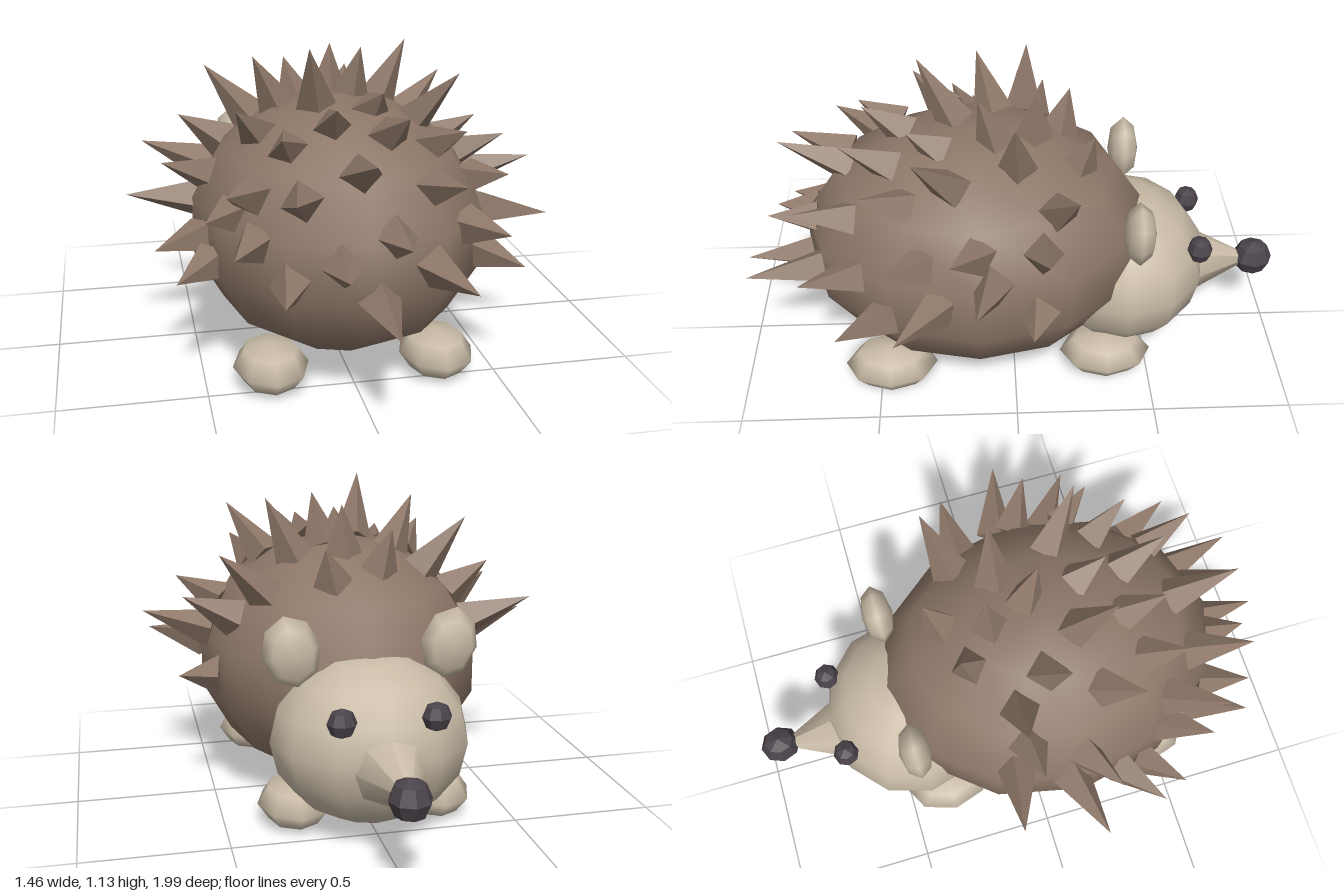
import * as THREE from 'three';

const brown = new THREE.MeshStandardMaterial({ color: 0x8d7768 });
brown.name = 'brown';
const cream = new THREE.MeshStandardMaterial({ color: 0xc8bba6 });
cream.name = 'cream';
const dark = new THREE.MeshStandardMaterial({ color: 0x4a434a });
dark.name = 'dark';

// Faceted copy of a geometry
function faceted(geometry) {
  const g = geometry.toNonIndexed();
  g.computeVertexNormals();
  return g;
}

function ellipsoid(rx, ry, rz, across, rings) {
  return new THREE.SphereGeometry(1, across, rings).scale(rx, ry, rz);
}

// The spines reach slightly further to one side, so the body sits off the middle
const MID = 0.008;

// Spine tips: x, y, z
const SPINES = [
  [0.13, 0.95, -0.28], [-0.12, 1.0, -0.21], [0.03, 1.07, -0.08], [0.29, 1.09, 0.0],
  [-0.43, 1.01, -0.07], [-0.66, 0.72, -0.15], [-0.53, 0.84, -0.04], [-0.73, 0.61, 0.14],
  [-0.28, 1.07, 0.12], [0.1, 1.09, 0.12], [0.73, 0.67, 0.14], [0.6, 0.77, -0.1],
  [0.62, 0.47, -0.05], [0.48, 0.93, -0.2], [0.7, 0.54, 0.41], [0.39, 1.03, 0.34],
  [0.6, 0.78, 0.22], [-0.12, 1.13, 0.33], [-0.37, 0.94, 0.36], [-0.65, 0.49, 0.39],
  [-0.61, 0.74, 0.22], [0.12, 0.98, 0.37], [-0.5, 0.65, 0.6], [-0.25, 0.89, 0.56],
  [-0.07, 0.97, 0.53], [0.15, 0.95, 0.6], [0.36, 0.88, 0.53], [0.55, 0.43, 0.62],
  [0.54, 0.7, 0.45], [0.45, 0.59, 0.74], [-0.59, 0.41, 0.5], [-0.44, 0.75, 0.67],
  [-0.43, 0.58, 0.76], [-0.29, 0.45, 0.85], [-0.25, 0.76, 0.82], [-0.1, 0.53, 0.88],
  [-0.01, 0.87, 0.83], [0.03, 0.38, 0.99], [0.09, 0.62, 0.88], [0.28, 0.49, 0.95],
  [0.29, 0.77, 0.77],
];

export function createModel() {
  const model = new THREE.Group();
  model.name = 'hedgehog';

  function add(name, geometry, material, x, y, z) {
    const mesh = new THREE.Mesh(geometry, material);
    mesh.name = name;
    mesh.position.set(x + MID, y, z);
    model.add(mesh);
    return mesh;
  }

  // Rounded body
  const centre = new THREE.Vector3(MID, 0.48, 0.13);
  const radii = new THREE.Vector3(0.525, 0.45, 0.64);
  add('body', ellipsoid(radii.x, radii.y, radii.z, 12, 7), brown, 0, centre.y, centre.z);

  // Four-sided spines, leaning backwards out of the body
  const spines = new THREE.Group();
  spines.name = 'spines';
  model.add(spines);
  const up = new THREE.Vector3(0, 1, 0);
  for (const t of SPINES) {
    const tip = new THREE.Vector3(...t);
    const base = tip.clone().sub(centre);
    base.z -= 0.09;
    base.divide(radii).normalize().multiplyScalar(0.95).multiply(radii).add(centre);
    const axis = tip.clone().sub(base);
    const length = axis.length();
    const cone = new THREE.ConeGeometry(0.073, length, 4).translate(0, length / 2, 0);
    const spine = new THREE.Mesh(faceted(cone), brown);
    spine.name = 'spine';
    spine.position.copy(base);
    spine.quaternion.setFromUnitVectors(up, axis.normalize());
    spines.add(spine);
  }

  // Head, snout and nose
  add('head', ellipsoid(0.345, 0.295, 0.315, 12, 8), cream, 0, 0.33, -0.415);
  const snout = new THREE.ConeGeometry(0.17, 0.34, 8).rotateX(-Math.PI / 2);
  add('snout', snout, cream, 0, 0.305, -0.76);
  add('nose', faceted(ellipsoid(0.07, 0.07, 0.075, 8, 4)), dark, 0, 0.31, -0.925);

  // Paired eyes, ears and feet
  for (const side of [-1, 1]) {
    const label = side > 0 ? 'left' : 'right';
    add(label + 'Eye', faceted(ellipsoid(0.05, 0.05, 0.047, 8, 4)), dark, side * 0.155, 0.475, -0.68);
    const earShape = new THREE.SphereGeometry(1, 8, 4).rotateX(Math.PI / 2).scale(0.1, 0.125, 0.058);
    const ear = add(label + 'Ear', earShape, cream, side * 0.27, 0.645, -0.435);
    ear.rotation.z = -side * 0.2;
    for (const [end, x, z] of [['Front', 0.25, -0.34], ['Back', 0.29, 0.46]]) {
      add(label + end + 'Foot', ellipsoid(0.13, 0.08, 0.17, 8, 4), cream, side * x, 0.08, z);
    }
  }
  return model;
}
